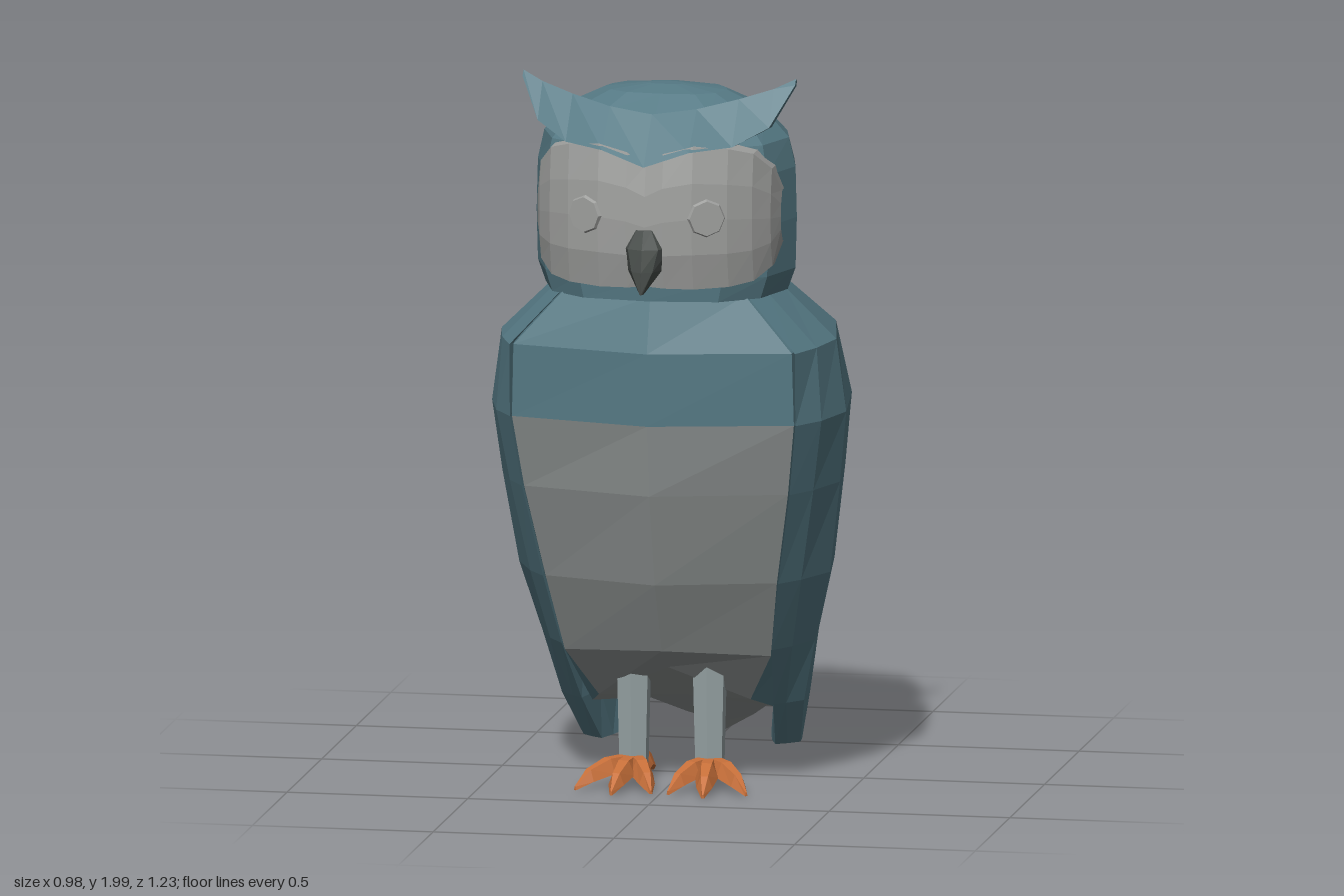
import * as THREE from 'three';

const paint = (name, color) => {
  const m = new THREE.MeshStandardMaterial({ color, flatShading: true, side: THREE.DoubleSide });
  m.name = name;
  return m;
};

// Skin a row of cross-sections; each section is a list of [x, y, z].
function loft(sections, { closed = true, start = closed, end = closed } = {}) {
  const pos = [];
  const tri = (a, b, c) => pos.push(...a, ...b, ...c);
  const n = sections[0].length;
  for (let i = 0; i < sections.length - 1; i++) {
    for (let j = 0; j < (closed ? n : n - 1); j++) {
      const k = (j + 1) % n;
      const [a, b, c, d] = [sections[i][j], sections[i][k], sections[i + 1][k], sections[i + 1][j]];
      tri(a, b, c);
      tri(a, c, d);
    }
  }
  const cap = (s, flip) => {
    const mid = [0, 1, 2].map(q => s.reduce((t, p) => t + p[q], 0) / n);
    s.forEach((p, j) => (flip ? tri(mid, s[(j + 1) % n], p) : tri(mid, p, s[(j + 1) % n])));
  };
  if (start) cap(sections[0], true);
  if (end) cap(sections[sections.length - 1], false);
  const g = new THREE.BufferGeometry();
  g.setAttribute('position', new THREE.Float32BufferAttribute(pos, 3));
  g.computeVertexNormals();
  return g;
}

const flipX = ([x, y, z]) => [-x, y, z];
// Half section from front centre to back centre -> full ring
const fullRing = h => [...h, ...h.slice(1, -1).reverse().map(flipX)];
const mirrorSections = s => s.map(r => r.map(flipX).reverse());

export function createModel() {
  const owl = new THREE.Group();
  owl.name = 'owl';
  const teal = paint('teal feathers', 0x557984);
  const grey = paint('belly grey', 0x8e9392);
  const pale = paint('face grey', 0xa0a19f);
  const legGrey = paint('leg grey', 0x98a4a6);
  const dark = paint('beak charcoal', 0x484d4a);
  const orange = paint('foot orange', 0xc8703a);
  const add = (name, geo, mat, parent = owl) => {
    const m = new THREE.Mesh(geo, mat);
    m.name = name;
    parent.add(m);
    return m;
  };

  // Torso: front centre, front corner, side, back corner, back centre
  const half = [
    [[0, .34, .22], [.21, .24, .12], [.25, .2, 0], [.21, .2, -.2], [0, .22, -.235]],
    [[0, .4, .31], [.285, .38, .22], [.33, .38, .04], [.245, .3, -.235], [0, .29, -.3]],
    [[0, .6, .41], [.32, .6, .315], [.39, .6, .1], [.265, .6, -.235], [0, .6, -.315]],
    [[0, .86, .49], [.365, .86, .39], [.42, .86, .15], [.27, .86, -.23], [0, .86, -.315]],
    [[0, 1.06, .525], [.39, 1.06, .435], [.45, 1.06, .2], [.275, 1.06, -.215], [0, 1.06, -.315]],
    [[0, 1.26, .525], [.385, 1.26, .44], [.42, 1.26, .18], [.29, 1.26, -.15], [0, 1.26, -.245]],
    [[0, 1.41, .475], [.25, 1.41, .41], [.31, 1.41, .18], [.24, 1.41, -.02], [0, 1.41, -.1]]
  ];
  const front = half.map(([a, b]) => [flipX(b), a, b]);
  add('belly', loft(front.slice(0, 5), { closed: false }), grey);
  add('chest', loft(front.slice(4), { closed: false }), teal);
  add('back', loft(half.map(h => fullRing(h).slice(1)), { closed: false }), teal);
  const rim = fullRing(half[0]);
  add('underside', loft([rim.map(() => [0, .22, -.02]), rim], { start: false, end: false }), grey);

  // Folded wings: leading edge, three outer points, trailing edge, inner point
  const wing = [
    [.08, [.24, -.08], [.27, -.1], [.3, -.13], [.295, -.18], [.2, -.23], [.22, -.14]],
    [.22, [.265, .08], [.295, .05], [.335, 0], [.325, -.14], [.225, -.24], [.24, -.06]],
    [.4, [.29, .24], [.335, .17], [.377, .06], [.355, -.11], [.24, -.25], [.27, 0]],
    [.6, [.325, .325], [.375, .25], [.43, .12], [.4, -.1], [.255, -.25], [.3, .05]],
    [.86, [.37, .395], [.42, .31], [.467, .17], [.43, -.1], [.26, -.245], [.33, .08]],
    [1.06, [.395, .44], [.45, .35], [.49, .2], [.45, -.09], [.265, -.23], [.35, .1]],
    [1.26, [.395, .445], [.435, .34], [.463, .2], [.41, -.07], [.28, -.165], [.33, .1]],
    [1.4, [.265, .41], [.3, .32], [.32, .2], [.29, .05], [.235, -.035], [.25, .15]]
  ].map(([y, ...p]) => p.map(([x, z]) => [x, y, z]));
  add('leftWing', loft(wing), teal);
  add('rightWing', loft(mirrorSections(wing)), teal);

  // Tail: teal above, grey below
  const tail = [[-.12, .2, .26], [-.23, .262, .222], [-.55, .093, .083], [-.615, .004, .05]];
  add('tailTop', loft(tail.map(([z, w, y]) => [[-w, y - .01, z], [0, y, z], [w, y - .01, z]]), { closed: false }), teal);
  add('tailUnderside', loft(tail.map(([z, w, y]) =>
    [[w, y - .01, z], [0, y - .035, z], [-w, y - .01, z]]), { closed: false }), grey);

  // Head
  const headShape = [[0, .5], [.2, .475], [.31, .39], [.36, .235], [.335, .12], [.27, 0], [0, -.115]];
  const head = [[1.4, .93, .96], [1.46, .99, .98], [1.6, 1, 1], [1.74, .99, .98], [1.82, .94, .87],
    [1.9, .74, .6], [1.945, .47, .34], [1.96, .14, .08]]
    .map(([y, sx, sz]) => fullRing(headShape.map(([x, z]) => [x * sx, y, .24 + (z - .24) * sz])));
  add('head', loft(head), teal);

  // Face disc: columns of x, top, bottom, depth, with a rim turned back to the head
  const cols = [[0, 1.785, 1.45, .555], [.05, 1.82, 1.447, .562], [.13, 1.84, 1.445, .55], [.22, 1.83, 1.448, .51],
    [.28, 1.81, 1.458, .46], [.32, 1.76, 1.49, .4], [.337, 1.69, 1.55, .34]];
  const allCols = [...cols.slice(1).reverse().map(([x, ...r]) => [-x, ...r]), ...cols];
  const rows = [[0, -.1], [0, -.02], [.25, .002], [.5, .006], [.75, .002], [1, -.015], [1, -.1]];
  add('face', loft(rows.map(([t, dz]) => allCols.map(([x, top, bot, z]) =>
    [x, bot + (top - bot) * t, z + dz])), { closed: false }), pale);

  // Closed eyelids
  for (const s of [1, -1]) {
    const lid = new THREE.CylinderGeometry(.048, .062, .03, 8).rotateX(Math.PI / 2);
    const eye = add(s > 0 ? 'leftEyelid' : 'rightEyelid', lid, pale);
    eye.position.set(s * .165, 1.645, .533);
    eye.rotation.y = s * .4;
  }

  // Hooked beak
  const beak = [[1.44, .006, .6, .614], [1.5, .048, .55, .61], [1.56, .07, .53, .597], [1.61, .035, .54, .575]]
    .map(([y, w, back, tip]) => fullRing([[0, y, tip], [w * .6, y, tip - (tip - back) * .25], [w, y, back], [0, y, back - .01]]));
  add('beak', loft(beak), dark);

  // Swept brow with ear tufts: x, top y, top z, bottom y, bottom z, thickness
  const browHalf = [[0, 1.91, .45, 1.785, .572, .09], [.12, 1.925, .43, 1.825, .548, .09], [.23, 1.95, .395, 1.835, .495, .07],
    [.32, 1.975, .36, 1.88, .43, .04], [.377, 2, .335, 1.985, .35, .02]];
  const browCols = [...browHalf.slice(1).reverse().map(([x, ...r]) => [-x, ...r]), ...browHalf];
  add('brow', loft(browCols.map(([x, ty, tz, by, bz, d]) =>
    [[x, ty, tz], [x, by, bz], [x, by - .005, bz - d], [x, ty - d * .4, tz - d * .6]])), teal);

  // Legs and feet
  const toe = len => loft([[0, .034, .088, .03], [.45, .032, .085, .045], [.77, .022, .062, .03], [1, .004, .02, .01]]
    .map(([d, w, t, b]) => [[w, b, d * len], [w * .45, t, d * len], [-w * .45, t, d * len], [-w, b, d * len]]));
  for (const s of [1, -1]) {
    const leg = new THREE.Group();
    leg.name = s > 0 ? 'leftLeg' : 'rightLeg';
    leg.position.set(s * .105, 0, .16);
    owl.add(leg);
    add('shank', new THREE.CylinderGeometry(.05, .042, .3, 6).translate(0, .21, 0), legGrey, leg);
    [[0.1, .22], [.68, .21], [-.42, .2], [Math.PI + .1, .175]].forEach(([angle, len], i) => {
      const t = add(i < 3 ? 'frontToe' : 'backToe', toe(len), orange, leg);
      t.rotation.y = s * angle;
    });
  }
  return owl;
}
